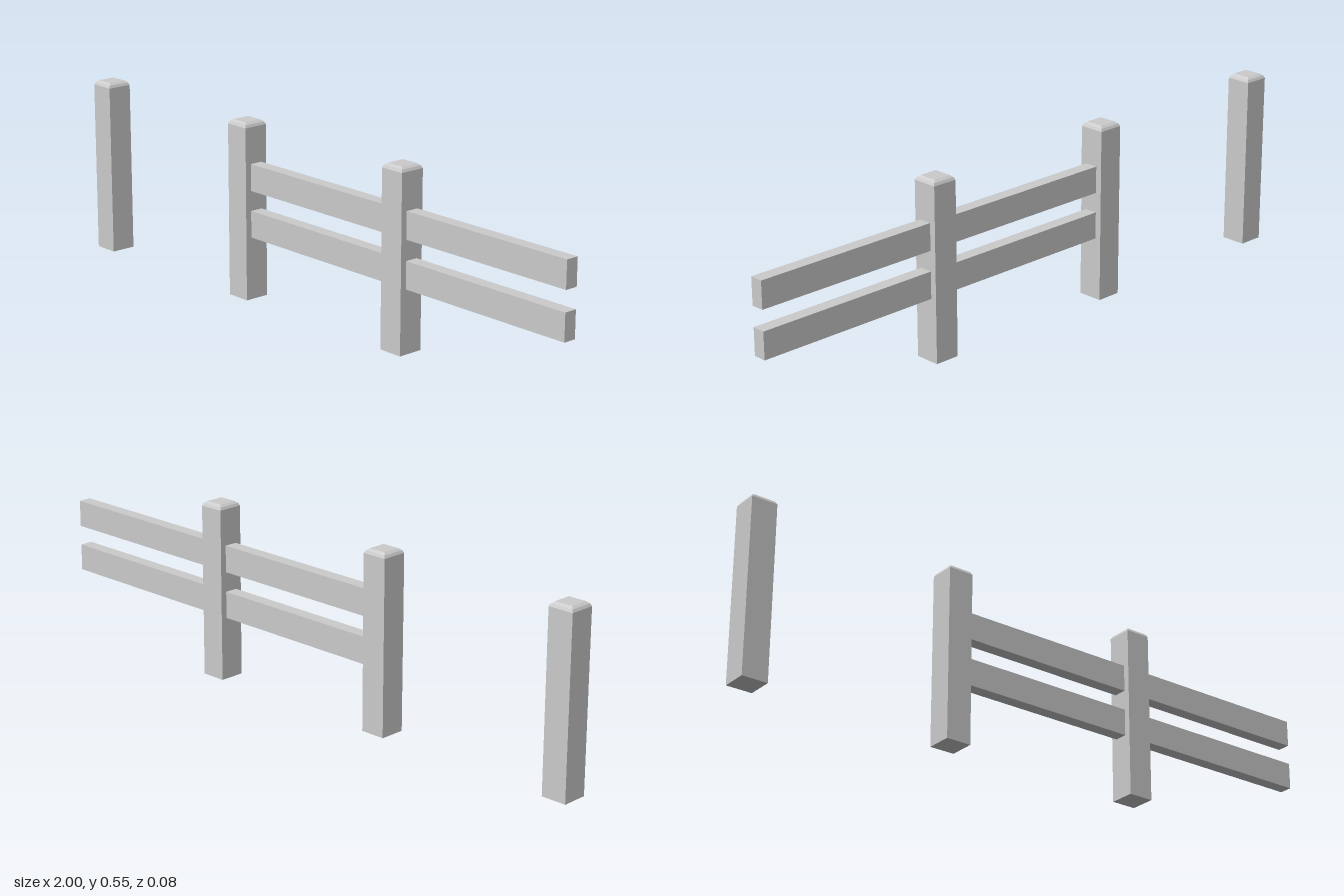
import * as THREE from 'three';

const material = new THREE.MeshStandardMaterial({ color: 0xcccccc, flatShading: true });

// Square post with a two-step bevel around its top
function makePost(x, height) {
  const profile = [
    [0, 0], [0.04, 0], [0.04, height - 0.014], [0.036, height - 0.006], [0.028, height], [0, height],
  ].map(([half, y]) => new THREE.Vector2(half * Math.SQRT2, y));
  const geometry = new THREE.LatheGeometry(profile, 4, Math.PI / 4).toNonIndexed();
  geometry.computeVertexNormals();
  const post = new THREE.Mesh(geometry, material);
  post.name = 'post';
  post.position.x = x;
  return post;
}

// Horizontal rail between two x positions
function makeRail(x0, x1, y) {
  const rail = new THREE.Mesh(new THREE.BoxGeometry(x1 - x0, 0.083, 0.041), material);
  rail.name = 'rail';
  rail.position.set((x0 + x1) / 2, y, 0);
  return rail;
}

export function createModel() {
  const fence = new THREE.Group();
  fence.name = 'fence';

  // Lone end post and the two posts that carry rails
  for (const [x, height] of [[-0.96, 0.552], [-0.298, 0.549], [0.366, 0.549]]) {
    fence.add(makePost(x, height));
  }

  // Two rails in each bay, the last bay left open-ended
  for (const [x0, x1] of [[-0.259, 0.327], [0.405, 1]]) {
    for (const y of [0.236, 0.381]) fence.add(makeRail(x0, x1, y));
  }
  return fence;
}
